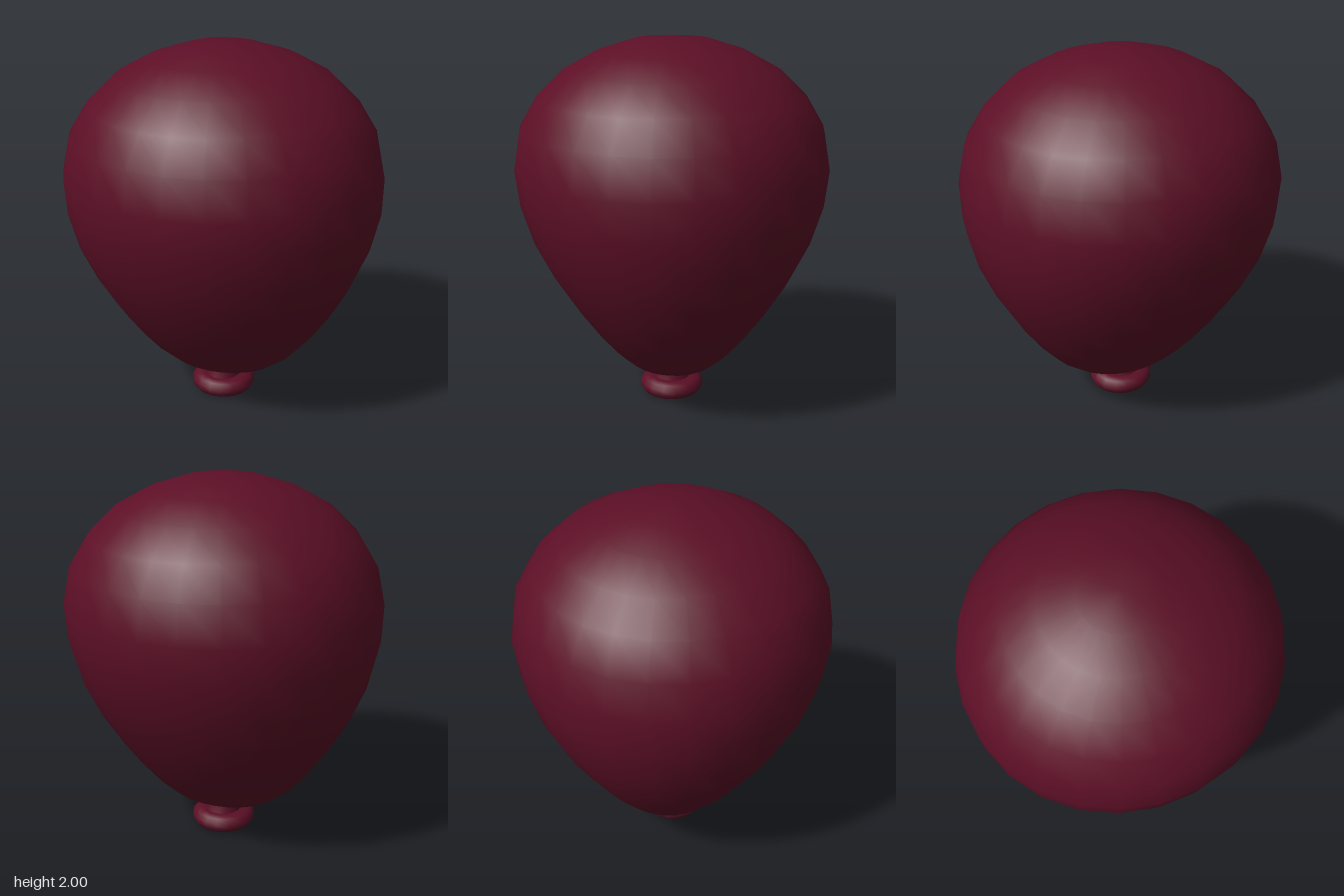
import * as THREE from 'three';
import { mergeVertices } from 'three/addons/utils/BufferGeometryUtils.js';

// Smooth lathe of [height, x radius, z radius] rings, listed bottom to top
function ovalLathe(rings, segments) {
  const points = rings.map(([y, rx]) => new THREE.Vector2(rx, y));
  const geo = new THREE.LatheGeometry(points, segments, Math.PI / 2);
  const pos = geo.attributes.position;
  for (let i = 0; i < pos.count; i++) {
    const [, rx, rz] = rings[i % rings.length];
    if (rx > 0) pos.setZ(i, pos.getZ(i) * rz / rx);
  }
  // weld the seam and poles so shading stays smooth
  geo.deleteAttribute('uv');
  geo.deleteAttribute('normal');
  const welded = mergeVertices(geo, 1e-4);
  welded.computeVertexNormals();
  return welded;
}

export function createModel() {
  const group = new THREE.Group();
  const rubber = new THREE.MeshStandardMaterial({ color: 0x5c0f26 });
  rubber.name = 'dark red rubber';

  // inflated body, slightly flattened front to back towards the bottom
  const body = new THREE.Mesh(ovalLathe([
    [0.155, 0, 0], [0.158, 0.09, 0.08], [0.185, 0.21, 0.175], [0.235, 0.328, 0.26],
    [0.315, 0.43, 0.344], [0.425, 0.524, 0.435], [0.57, 0.624, 0.54], [0.74, 0.72, 0.65],
    [0.93, 0.80, 0.745], [1.135, 0.847, 0.81], [1.33, 0.85, 0.835], [1.53, 0.805, 0.80],
    [1.69, 0.705, 0.705], [1.825, 0.565, 0.565], [1.92, 0.39, 0.39], [1.98, 0.2, 0.2], [2, 0, 0],
  ], 26), rubber);
  body.name = 'balloonBody';
  group.add(body);

  // short neck between body and lip
  const neck = new THREE.Mesh(ovalLathe([
    [0.065, 0, 0], [0.065, 0.105, 0.11], [0.1, 0.1, 0.105], [0.13, 0.09, 0.09], [0.2, 0.085, 0.08],
  ], 16), rubber);
  neck.name = 'neck';
  group.add(neck);

  // rolled lip, a flattened ring open underneath
  const lipProfile = [
    [0.095, 0.09], [0.07, 0.075], [0.04, 0.075], [0.012, 0.1], [0, 0.13], [0.01, 0.158],
    [0.035, 0.176], [0.065, 0.177], [0.088, 0.155], [0.097, 0.125], [0.095, 0.09],
  ];
  const lip = new THREE.Mesh(ovalLathe(lipProfile.map(([y, r]) => [y, r, r * 0.985]), 16), rubber);
  lip.name = 'rolledLip';
  group.add(lip);

  return group;
}
